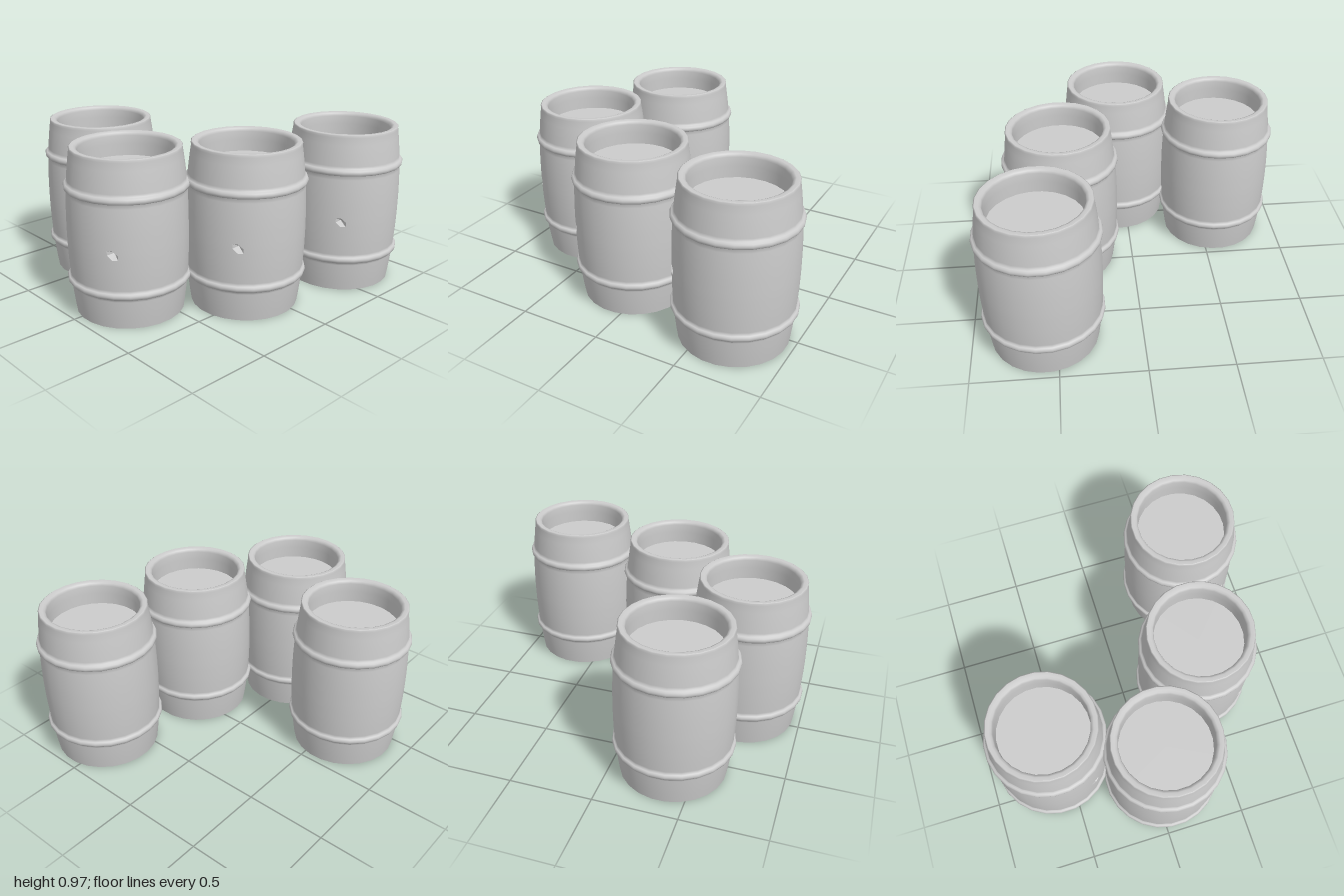
import * as THREE from 'three';

const SIDES = 24, SUB = 3, SEGS = SIDES * SUB;
const DENT_ANGLE = THREE.MathUtils.degToRad(38);
const DENT_Y = 0.45, DENT_HALF = 0.027, DENT_DEPTH = 0.05;
const material = new THREE.MeshStandardMaterial({ color: 0xcccccc, side: THREE.DoubleSide });

// radius of the bulging staves at a height
const bulge = (y) => 0.349 - 0.034 * Math.pow(Math.abs(y - 0.475) / 0.475, 2.2);

// rounded hoop swelling out of the staves
function hoop(y) {
  const pts = [];
  for (let i = 0; i <= 6; i++) {
    const a = -Math.PI / 2 + (Math.PI * i) / 6;
    const h = y + 0.021 * Math.sin(a);
    pts.push([bulge(h) + 0.018 * Math.cos(a), h]);
  }
  return pts;
}

const at = (...heights) => heights.map((y) => [bulge(y), y]);

// lathe whose columns lie on the flat sides of a 24-sided barrel
function turned(profile) {
  const geo = new THREE.LatheGeometry(profile.map(([r, y]) => new THREE.Vector2(r, y)),
    SEGS, DENT_ANGLE - Math.PI);
  const pos = geo.attributes.position;
  for (let v = 0; v < pos.count; v++) {
    const column = Math.floor(v / profile.length) % SUB;
    if (column === 0) continue;
    const step = Math.PI / SIDES;
    const s = Math.cos(step) / Math.cos((column / SUB) * 2 * step - step);
    pos.setXYZ(v, pos.getX(v) * s, pos.getY(v), pos.getZ(v) * s);
  }
  return geo;
}

// staves with hoops, and the small pinched dent cut out as its own faces
function makeBody() {
  const profile = [
    ...at(0, 0.06, 0.12, 0.17), ...hoop(0.205), ...at(0.24, 0.3, 0.36),
    ...at(DENT_Y - DENT_HALF, DENT_Y, DENT_Y + DENT_HALF),
    ...at(0.54, 0.6, 0.66, 0.71), ...hoop(0.755), ...at(0.79, 0.85, 0.91, 0.955),
    [0.316, 0.968], [0.31, 0.972],
  ];
  const wall = turned(profile);
  const row = profile.findIndex(([, y]) => y === DENT_Y);
  const centre = (SEGS / 2) * profile.length + row;
  const keep = [], cut = [];
  const index = wall.index.array;
  for (let i = 0; i < index.length; i += 3) {
    const tri = [index[i], index[i + 1], index[i + 2]];
    (tri.includes(centre) ? cut : keep).push(...tri);
  }
  const dentSource = wall.clone();
  const pos = dentSource.attributes.position;
  const s = 1 - DENT_DEPTH / bulge(DENT_Y);
  pos.setXYZ(centre, pos.getX(centre) * s, DENT_Y, pos.getZ(centre) * s);
  dentSource.setIndex(cut);
  const dent = dentSource.toNonIndexed();
  dent.computeVertexNormals();
  wall.setIndex(keep);
  return { wall, dent };
}

export function createModel() {
  const { wall, dent } = makeBody();
  const parts = {
    staves: wall,
    bungDent: dent,
    // softly rounded lip turning down into the recess
    rim: turned([[0.31, 0.972], [0.29, 0.972], [0.277, 0.966], [0.271, 0.95], [0.27, 0.9], [0.27, 0.83]]),
    recessedLid: turned([[0.27, 0.83], [0, 0.83]]),
  };
  const model = new THREE.Group();
  model.name = 'barrels';
  const places = [[-0.578, 0.353], [0.055, 0.637], [0.441, 0.08], [0.575, -0.645]];
  places.forEach(([x, z], i) => {
    const barrel = new THREE.Group();
    barrel.name = `barrel${i + 1}`;
    for (const [name, geo] of Object.entries(parts)) {
      const mesh = new THREE.Mesh(geo, material);
      mesh.name = name;
      barrel.add(mesh);
    }
    barrel.position.set(x, 0, z);
    model.add(barrel);
  });
  return model;
}
